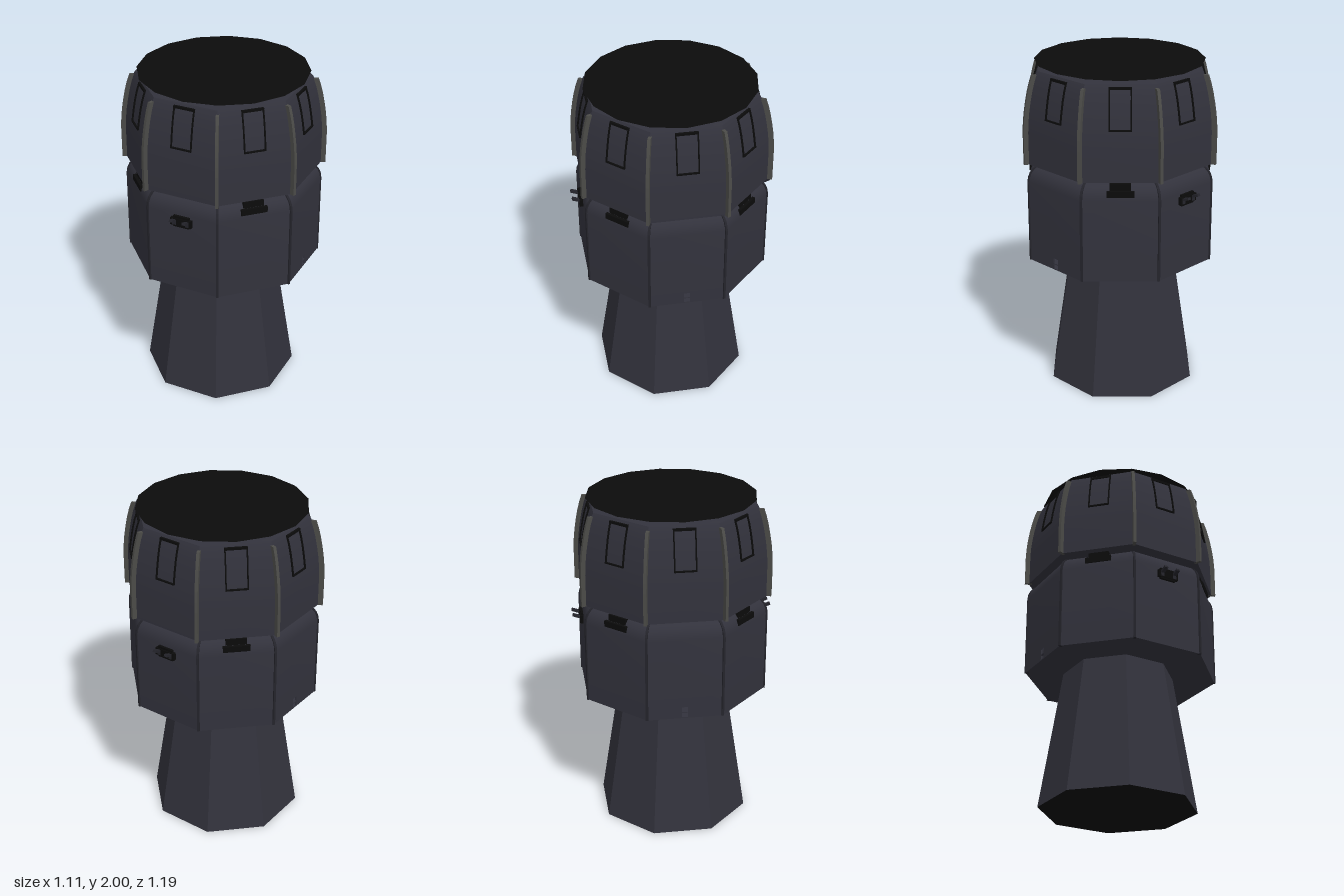
import * as THREE from 'three';
import { toCreasedNormals } from 'three/addons/utils/BufferGeometryUtils.js';

const APO = Math.cos(Math.PI / 8); // octagon apothem / corner radius

function material(name, color, side = THREE.FrontSide) {
  const m = new THREE.MeshStandardMaterial({ color, side });
  m.name = name;
  return m;
}

export function createModel() {
  const body = material('dark slate body', 0x32323c, THREE.DoubleSide);
  const black = material('black trim', 0x0b0b0b, THREE.DoubleSide);
  const rib = material('grey rib', 0x4b4b48);
  const seam = material('dark seam', 0x24242b);

  const model = new THREE.Group();
  const add = (name, geo, mat, parent = model) => {
    const mesh = new THREE.Mesh(geo, mat);
    mesh.name = name;
    parent.add(mesh);
    return mesh;
  };

  // Eight-sided shell from [apothem, height] points, corners kept sharp
  const shell = (name, pts) => {
    const p = pts.map(([r, y]) => new THREE.Vector2(r / APO, y));
    const geo = new THREE.LatheGeometry(p, 8, Math.PI / 8);
    return add(name, toCreasedNormals(geo, 0.5), body);
  };

  // Bar that follows a [radius, height] path, with a tangential offset
  const bar = (name, pts, inset, out, width, angle, mat, side = 0) => {
    const inner = pts.map(([r, y]) => new THREE.Vector2(r - inset, y));
    const outer = pts.map(([r, y]) => new THREE.Vector2(r + out, y)).reverse();
    const geo = new THREE.ExtrudeGeometry(new THREE.Shape([...inner, ...outer]),
      { depth: width, bevelEnabled: false });
    geo.translate(0, 0, side - width / 2);
    const mesh = add(name, geo, mat);
    mesh.rotation.y = angle;
    return mesh;
  };

  // Box standing on a face of the octagon
  const faceBox = (name, [w, h, d], r, y, angle, mat, side = 0) => {
    const geo = new THREE.BoxGeometry(d, h, w);
    geo.translate(r, y, side);
    const mesh = add(name, geo, mat);
    mesh.rotation.y = angle;
    return mesh;
  };

  // Tapered pedestal with a black underside
  const base = new THREE.CylinderGeometry(0.305 / APO, 0.427 / APO, 0.835, 8, 1, false, Math.PI / 8);
  base.translate(-0.02, 0.4175, 0.004);
  add('pedestal', toCreasedNormals(base, 0.3), [body, body, black]);

  // Lower drum
  const lower = [[0.53, 0.9], [0.53, 1.32], [0.526, 1.35], [0.515, 1.378],
    [0.495, 1.402], [0.465, 1.418], [0.42, 1.424]];
  shell('lowerDrum', [...lower, [0.33, 1.426], [0.33, 1.445]]);
  const floor = new THREE.CylinderGeometry(0.53 / APO, 0.53 / APO, 0.006, 8, 1, false, Math.PI / 8);
  floor.translate(0, 0.833, 0);
  add('drumFloor', toCreasedNormals(floor, 0.3), body);

  // Upper drum, curving inwards to the roof
  const upper = [[0.53, 1.43], [0.53, 1.62], [0.527, 1.68], [0.521, 1.74], [0.512, 1.8],
    [0.501, 1.86], [0.489, 1.91], [0.475, 1.955], [0.465, 1.975]];
  shell('upperDrum', [[0.33, 1.44], [0.5, 1.432], ...upper, [0.39, 1.986]]);

  // Roof: thin overhanging sheet on a shallow plinth
  const plinth = new THREE.CylinderGeometry(0.395, 0.395, 0.022, 16);
  plinth.translate(0, 1.988, 0);
  add('roofPlinth', toCreasedNormals(plinth, 0.3), black);
  const roof = new THREE.CircleGeometry(0.495, 16);
  roof.rotateX(-Math.PI / 2);
  roof.translate(0, 2, 0);
  add('roofSheet', roof, black);

  // Ribs and seams along the corners
  const corner = (pts) => pts.map(([r, y]) => [r / APO, y]);
  for (let i = 0; i < 8; i++) {
    const a = (i + 0.5) * Math.PI / 4;
    bar('upperRib', corner(upper.slice(0, 8)), 0.02, 0.024, 0.018, a, rib);
    bar('lowerSeam', corner([[0.53, 0.83], ...lower.slice(1)]), 0.02, 0.005, 0.014, a, seam);
  }

  // Bottom band, with a small open slot on the two sides
  const full = 0.438, slot = 0.036;
  for (let i = 0; i < 8; i++) {
    const a = i * Math.PI / 4;
    if (i % 4) {
      faceBox('bottomBand', [full, 0.07, 0.01], 0.525, 0.866, a, body);
      continue;
    }
    const w = (full - slot) / 2;
    for (const s of [-1, 1]) faceBox('bottomBand', [w, 0.07, 0.01], 0.525, 0.866, a, body, s * (w + slot) / 2);
    faceBox('slotBar', [slot, 0.006, 0.01], 0.525, 0.866, a, body);
  }

  // Window frames on every upper face
  const edge = [[0.5225, 1.73], ...upper.slice(3, 8)];
  for (let i = 0; i < 8; i++) {
    const a = i * Math.PI / 4;
    for (const s of [-1, 1]) bar('windowSide', edge, 0.005, 0.009, 0.007, a, black, s * 0.06);
    faceBox('windowSill', [0.127, 0.008, 0.016], 0.524, 1.73, a, black);
    faceBox('windowHead', [0.127, 0.014, 0.016], 0.477, 1.954, a, black);
  }

  // Black clamps on the diagonal shoulders
  for (let i = 1; i < 8; i += 2) {
    const a = i * Math.PI / 4;
    faceBox('clamp', [0.155, 0.035, 0.05], 0.508, 1.36, a, black);
    faceBox('clampTop', [0.12, 0.06, 0.06], 0.485, 1.385, a, black);
  }

  // Front and back brackets, each with two upturned hooks
  for (const a of [-Math.PI / 2, Math.PI / 2]) {
    faceBox('bracketPlate', [0.13, 0.045, 0.03], 0.535, 1.278, a, black);
    faceBox('bracketCore', [0.1, 0.068, 0.024], 0.533, 1.28, a, black);
    for (const s of [-1, 1]) {
      bar('bracketHook', [[0.565, 1.3], [0.54, 1.26], [0.54, 1.285], [0.565, 1.31]].slice(1, 3),
        0.01, 0.012, 0.022, a, seam, s * 0.04);
      const tip = new THREE.BoxGeometry(0.055, 0.014, 0.022);
      tip.rotateZ(0.35);
      tip.translate(0.565, 1.293, s * 0.04);
      add('hookTip', tip, seam).rotation.y = a;
    }
  }

  return model;
}
